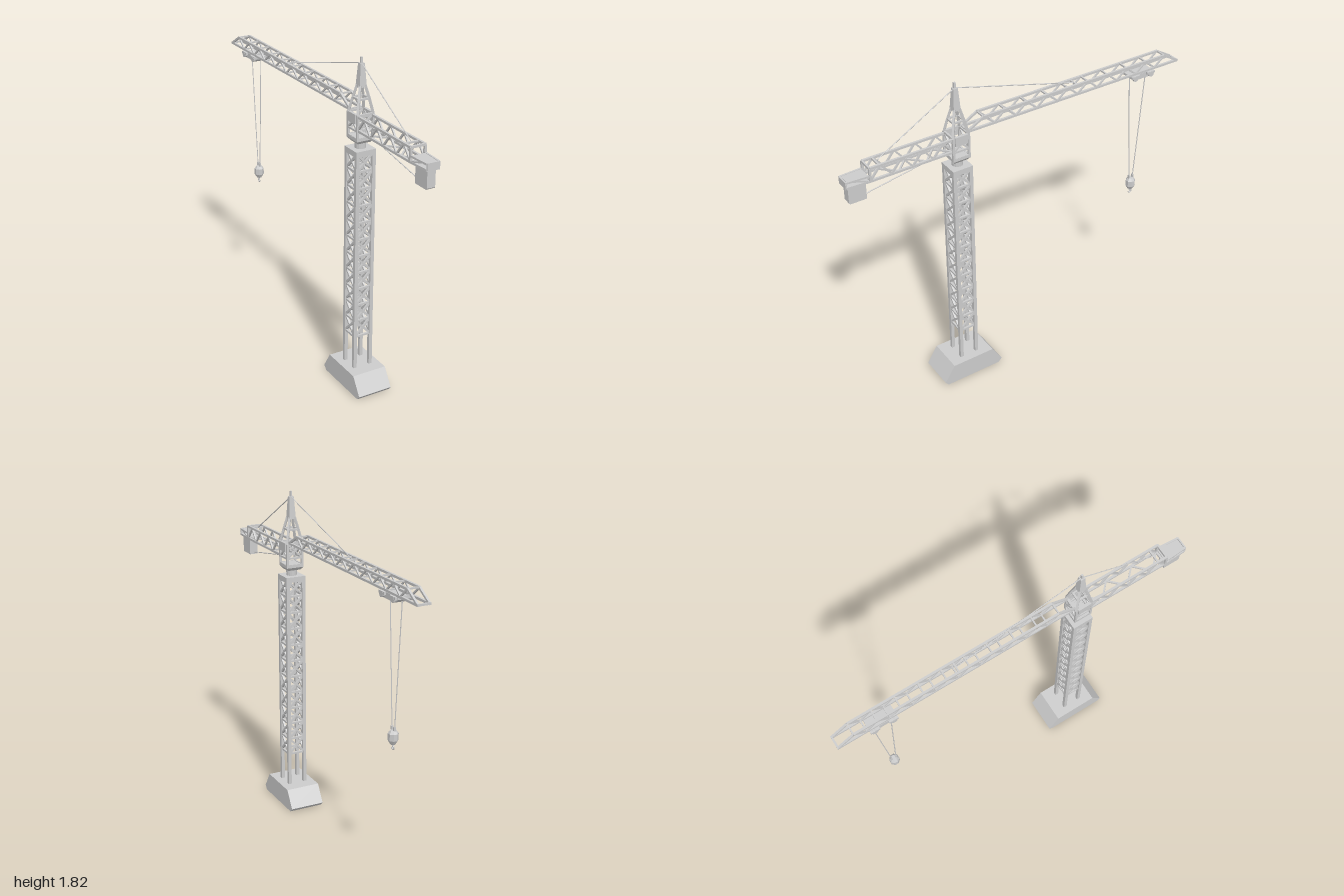
import * as THREE from 'three';
import { mergeGeometries } from 'three/addons/utils/BufferGeometryUtils.js';

const MAST_Z = 0.375;
const material = new THREE.MeshStandardMaterial({ color: 0xcccccc, flatShading: true });
const V = (x, y, z) => new THREE.Vector3(x, y, z);

// square bar between two points
function bar(a, b, t) {
  const p = V(...a), q = V(...b), d = q.clone().sub(p);
  const up = Math.abs(d.y) > 0.99 * d.length() ? V(0, 0, 1) : V(0, 1, 0);
  const g = new THREE.BoxGeometry(t, t, d.length());
  g.applyMatrix4(new THREE.Matrix4().lookAt(q, p, up));
  return g.translate((p.x + q.x) / 2, (p.y + q.y) / 2, (p.z + q.z) / 2);
}

// round rope between two points
function rope(a, b, r = 0.0028) {
  return new THREE.TubeGeometry(new THREE.LineCurve3(V(...a), V(...b)), 1, r, 6);
}

function box(w, h, d, x, y, z) {
  return new THREE.BoxGeometry(w, h, d).translate(x, y, z);
}

// side profile given as [z, y], extruded across x
function sideExtrude(points, width) {
  const s = new THREE.Shape(points.map(([z, y]) => new THREE.Vector2(-z, y)));
  return new THREE.ExtrudeGeometry(s, { depth: width, bevelEnabled: false })
    .translate(0, 0, -width / 2).rotateY(Math.PI / 2);
}

// four-sided frustum around the mast axis
function frustum(halfBottom, halfTop, y0, y1) {
  return new THREE.CylinderGeometry(halfTop * Math.SQRT2, halfBottom * Math.SQRT2, y1 - y0, 4)
    .rotateY(Math.PI / 4).translate(0, (y0 + y1) / 2, MAST_Z);
}

export function createModel() {
  const crane = new THREE.Group();
  crane.name = 'towerCrane';
  const add = (name, parts) => {
    const mesh = new THREE.Mesh(mergeGeometries(parts.map(g => g.index ? g.toNonIndexed() : g)), material);
    mesh.name = name;
    crane.add(mesh);
  };

  // foundation block
  add('base', [sideExtrude([[0.54, 0], [0.558, 0.022], [0.497, 0.118], [0.25, 0.118], [0.19, 0.022], [0.212, 0]], 0.196)]);

  // mast: corner legs, rings and X bracing
  const corners = [[-1, -1], [1, -1], [1, 1], [-1, 1]];
  const legs = [], lattice = [];
  const M = 0.047, y0 = 0.305, panels = 11, step = (1.335 - y0) / panels;
  corners.forEach(([sx, sz], i) => {
    const [tx, tz] = corners[(i + 1) % 4];
    const at = (x, z, y) => [x * M, y, MAST_Z + z * M];
    legs.push(box(0.019, 1.235, 0.019, sx * M, 0.7325, MAST_Z + sz * M));
    for (let k = 0; k <= panels; k++) {
      const y = y0 + k * step;
      lattice.push(bar(at(sx, sz, y), at(tx, tz, y), 0.011));
      if (k === panels) break;
      lattice.push(bar(at(sx, sz, y), at(tx, tz, y + step), 0.011));
      lattice.push(bar(at(tx, tz, y), at(sx, sz, y + step), 0.011));
    }
  });
  add('mastLegs', legs);
  add('mastLattice', lattice);
  add('mastCap', [box(0.114, 0.03, 0.114, 0, 1.337, MAST_Z)]);

  // slewing ring
  add('turntable', [
    new THREE.CylinderGeometry(0.029, 0.029, 0.05, 16).translate(0, 1.372, MAST_Z),
    frustum(0.036, 0.05, 1.385, 1.402),
    box(0.1, 0.016, 0.1, 0, 1.41, MAST_Z),
  ]);

  // tower head: braced cage, tapering legs and spire
  const head = [];
  const levels = [[1.415, 0.044], [1.455, 0.044], [1.535, 0.044], [1.61, 0.029], [1.675, 0.014]];
  corners.forEach(([sx, sz], i) => {
    const [tx, tz] = corners[(i + 1) % 4];
    const at = (x, z, [y, w]) => [x * w, y, MAST_Z + z * w];
    levels.forEach((level, k) => {
      head.push(bar(at(sx, sz, level), at(tx, tz, level), 0.01));
      if (k < levels.length - 1) head.push(bar(at(sx, sz, level), at(sx, sz, levels[k + 1]), 0.012));
    });
    head.push(bar(at(sx, sz, levels[1]), at(tx, tz, levels[2]), 0.009));
    head.push(bar(at(tx, tz, levels[1]), at(sx, sz, levels[2]), 0.009));
  });
  for (const s of [-1, 1]) head.push(box(0.01, 0.05, 0.07, s * 0.048, 1.515, MAST_Z));
  add('towerHead', head);
  add('spire', [frustum(0.02, 0.012, 1.665, 1.785), frustum(0.006, 0.005, 1.785, 1.815)]);

  // jib: four chords with sloped ends, zigzag sides and cross bars
  const jib = [], J = 0.031, jb = 1.541, jt = 1.594;
  const zStart = 0.235, zEnd = -0.905, bays = 18, bay = (zEnd - zStart) / bays;
  for (const x of [-J, J]) {
    jib.push(bar([x, jb, 0.33], [x, jb, -1], 0.012));
    jib.push(bar([x, jt, zStart], [x, jt, zEnd], 0.012));
    jib.push(bar([x, jb, 0.33], [x, jt, zStart], 0.011));
    jib.push(bar([x, jt, zEnd], [x, jb, -0.995], 0.011));
    for (let k = 0; k < bays; k++) {
      const z = zStart + k * bay, up = k % 2 === 0;
      jib.push(bar([x, up ? jt : jb, z], [x, up ? jb : jt, z + bay], 0.008));
    }
  }
  for (let k = 0; k <= bays; k++) {
    const z = zStart + k * bay, y = k % 2 ? jb : jt;
    jib.push(bar([-J, y, z], [J, y, z], 0.008));
  }
  for (const z of [0.325, -0.995]) jib.push(bar([-J, jb, z], [J, jb, z], 0.01));
  add('jib', jib);

  // counter jib behind the mast
  const counter = [], C = 0.039, cb = 1.458, ct = 1.528, c0 = 0.415, c1 = 0.872, n = 8;
  for (const s of [-1, 1]) {
    const x = s * C, e = s * 0.032;
    counter.push(bar([x, cb, c0], [x, cb, c1], 0.012), bar([x, ct, c0], [x, ct, c1], 0.012));
    counter.push(bar([x, cb, c1], [x, ct, c1], 0.012));
    counter.push(bar([x, cb, c1], [e, cb, 0.995], 0.012), bar([x, 1.487, c1], [e, 1.487, 0.995], 0.01));
    counter.push(bar([x, cb, c1], [e, 1.487, 0.97], 0.008));
    for (let k = 0; k < n; k++) {
      const za = c0 + (c1 - c0) * k / n, zb = c0 + (c1 - c0) * (k + 1) / n, up = k % 2 === 0;
      counter.push(bar([x, up ? cb : ct, za], [x, up ? ct : cb, zb], 0.009));
    }
  }
  for (let k = 0; k < 6; k++) {
    const s = k % 2 ? -1 : 1, d = (c1 - c0) / 6;
    counter.push(bar([s * C, cb, c0 + k * d], [-s * C, cb, c0 + (k + 1) * d], 0.009));
  }
  for (const y of [cb, ct]) for (const z of [c0, c1]) counter.push(bar([-C, y, z], [C, y, z], 0.011));
  add('counterJib', counter);

  // ballast deck, end plate and hanging counterweight
  const deck = new THREE.Shape([[-0.037, -0.88], [0.037, -0.88], [0.03, -0.99], [-0.03, -0.99]].map(p => new THREE.Vector2(...p)));
  add('ballastDeck', [
    new THREE.ExtrudeGeometry(deck, { depth: 0.01, bevelEnabled: false }).rotateX(-Math.PI / 2).translate(0, 1.452, 0),
    new THREE.ExtrudeGeometry(deck, { depth: 0.008, bevelEnabled: false }).rotateX(-Math.PI / 2).translate(0, 1.482, 0),
    box(0.07, 0.04, 0.008, 0, 1.472, 0.996),
  ]);
  add('counterweight', [sideExtrude([[0.985, 1.455], [0.985, 1.362], [0.978, 1.355], [0.89, 1.355], [0.89, 1.455]], 0.046)]);

  // stay cables
  add('stayCables', [
    rope([0, 1.785, MAST_Z], [0, ct, 0.82]),
    rope([0, 1.785, MAST_Z], [0, jt, -0.33]),
    rope([0, 1.368, 0.89], [0, 1.45, 0.42]),
    bar([-C, ct, 0.82], [C, ct, 0.82], 0.009),
    bar([-J, jt, -0.33], [J, jt, -0.33], 0.009),
  ]);

  // trolley with four side rollers
  const T = -0.755, trolley = [sideExtrude([[T + 0.075, 1.535], [T + 0.075, 1.522], [T + 0.052, 1.505],
    [T - 0.052, 1.505], [T - 0.075, 1.522], [T - 0.075, 1.535]], 0.078)];
  for (const sx of [-1, 1]) for (const sz of [-1, 1]) {
    trolley.push(new THREE.CylinderGeometry(0.016, 0.016, 0.014, 12).rotateZ(Math.PI / 2)
      .translate(sx * 0.046, 1.522, T + sz * 0.052));
    trolley.push(box(0.012, 0.014, 0.05, sx * 0.046, 1.53, T + sz * 0.05));
  }
  add('trolley', trolley);
  add('hoistRopes', [-1, 1].map(s => rope([0, 1.51, T + s * 0.055], [0, 0.845, T + s * 0.012])));

  // hook block and hook
  const profile = [[0, 0.775], [0.014, 0.775], [0.027, 0.797], [0.027, 0.832], [0.016, 0.848], [0, 0.848]];
  add('hookBlock', [
    new THREE.LatheGeometry(profile.map(p => new THREE.Vector2(...p)), 8, Math.PI / 8).translate(0, 0, T),
    ...[-1, 1].map(s => box(0.012, 0.03, 0.008, 0, 0.852, T + s * 0.012)),
  ]);
  add('hook', [
    new THREE.CylinderGeometry(0.005, 0.005, 0.02, 8).translate(0, 0.77, T),
    new THREE.TorusGeometry(0.009, 0.004, 6, 12, Math.PI * 1.5).rotateZ(-Math.PI).rotateY(Math.PI / 2).translate(0, 0.756, T),
  ]);

  return crane;
}
